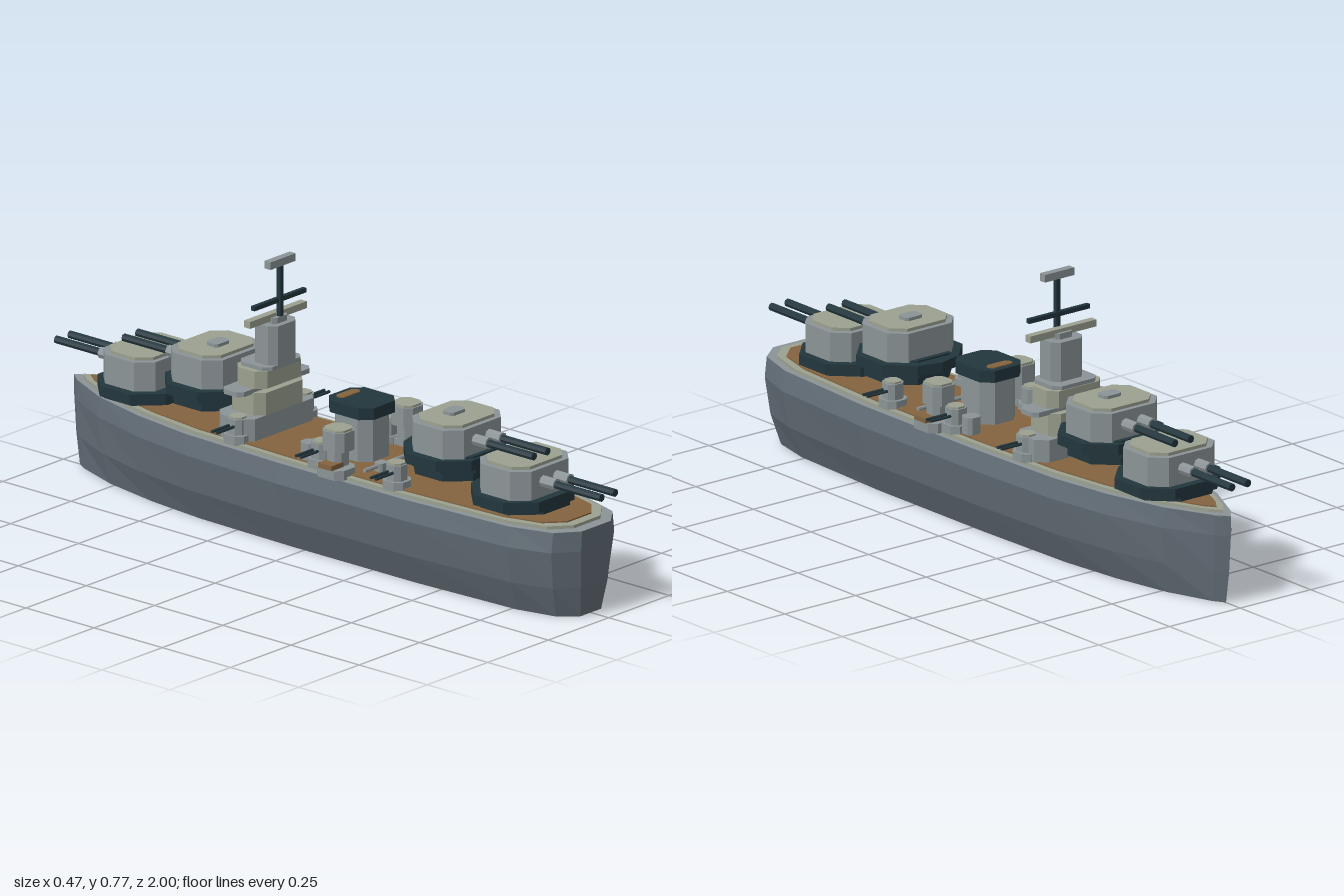
import * as THREE from 'three';

const mat = (name, color, side = THREE.FrontSide) =>
  Object.assign(new THREE.MeshStandardMaterial({ color, side, flatShading: true }), { name });

export function createModel() {
  const M = {
    hull: mat('hullGrey', 0x636e77, THREE.DoubleSide),
    grey: mat('lightGrey', 0x8b9497),
    sage: mat('sageGrey', 0x9ba190),
    dark: mat('darkTeal', 0x22363d),
    wood: mat('deckBrown', 0x84643f),
  };
  const ship = new THREE.Group();
  ship.name = 'warship';

  const add = (parent, name, geo, material, x = 0, y = 0, z = 0) => {
    const m = new THREE.Mesh(geo, material);
    m.name = name;
    m.position.set(x, y, z);
    parent.add(m);
    return m;
  };
  // box standing on y
  const box = (p, name, m, w, h, d, x, y, z) =>
    add(p, name, new THREE.BoxGeometry(w, h, d), m, x, y + h / 2, z);
  // upright prism from plan points [x, z]
  const prism = (pts, h) => {
    const s = new THREE.Shape(pts.map(([x, z]) => new THREE.Vector2(x, -z)));
    return new THREE.ExtrudeGeometry(s, { depth: h, bevelEnabled: false }).rotateX(-Math.PI / 2);
  };
  // rectangle plan with cut corners, optional point at the -z end
  const cut = (w, d, c, point = 0) => {
    const a = w / 2, b = d / 2;
    const pts = [[-a + c, b], [a - c, b], [a, b - c], [a, -b + c], [a - c, -b]];
    if (point) pts.push([0, -b - point]);
    return [...pts, [-a + c, -b], [-a, -b + c], [-a, b - c]];
  };
  const block = (p, name, m, w, h, d, c, x, y, z, point = 0) =>
    add(p, name, prism(cut(w, d, c, point), h), m, x, y, z);
  // round bar along z (or x)
  const bar = (p, name, m, r, len, x, y, z, alongX = false) => {
    const g = new THREE.CylinderGeometry(r, r, len, 8);
    return add(p, name, alongX ? g.rotateZ(Math.PI / 2) : g.rotateX(Math.PI / 2), m, x, y, z);
  };

  // Hull: plan outline lofted through a few heights, open underneath
  const half = [[0.03, -0.925], [0.1, -0.785], [0.15, -0.6], [0.18, -0.4], [0.193, -0.05],
    [0.193, 0.42], [0.17, 0.78], [0.13, 0.905], [0.063, 0.955]];
  const outline = [[0, -0.96], ...half, ...half.map(([x, z]) => [-x, z]).reverse()];
  const scaled = (sx, sz) => outline.map(([x, z]) => [x * sx, z * sz]);
  const loft = (rings) => {
    const v = [];
    const n = outline.length;
    for (let r = 0; r < rings.length - 1; r++) {
      for (let i = 0; i < n; i++) {
        const at = (k, j) => {
          const [y, sx, sz] = rings[k], [x, z] = outline[j % n];
          return [x * sx, y, z * sz];
        };
        const a = at(r, i), b = at(r, i + 1), c = at(r + 1, i + 1), d = at(r + 1, i);
        v.push(...a, ...d, ...c, ...a, ...c, ...b);
      }
    }
    const g = new THREE.BufferGeometry();
    g.setAttribute('position', new THREE.Float32BufferAttribute(v, 3));
    g.computeVertexNormals();
    return g;
  };
  add(ship, 'hull', loft([[0, 0.68, 0.978], [0.09, 0.89, 0.992], [0.198, 1, 1], [0.255, 0.945, 1]]), M.hull);
  add(ship, 'deckEdge', prism(scaled(0.945, 1), 0.006), M.grey, 0, 0.25, 0);
  add(ship, 'deckRim', prism(scaled(0.87, 0.965), 0.009), M.sage, 0, 0.256, 0);
  add(ship, 'deck', prism(scaled(0.78, 0.935), 0.007), M.wood, 0, 0.262, 0);

  // Main turrets: low outer and raised inner pair, repeated at both ends
  const turret = (name, z, base, raised, dir) => {
    const t = new THREE.Group();
    t.name = name;
    t.position.set(0, base, z * dir);
    if (dir < 0) t.rotation.y = Math.PI;
    ship.add(t);
    if (raised) block(t, 'barbette', M.dark, 0.23, 0.07, 0.22, 0.06, 0, -0.065, 0);
    block(t, 'turretFoot', M.dark, 0.25, 0.02, 0.24, 0.07, 0, -0.04, 0);
    block(t, 'turretRing', M.dark, 0.286, 0.03, 0.25, 0.07, 0, -0.03, -0.005, 0.02);
    block(t, 'gunHouse', M.grey, 0.236, 0.084, 0.19, 0.042, 0, 0, 0);
    block(t, 'gunHouseRoof', M.sage, 0.205, 0.009, 0.16, 0.036, 0, 0.084, 0);
    if (raised) block(t, 'roofHatch', M.grey, 0.06, 0.01, 0.042, 0.008, 0, 0.092, -0.01);
    for (const x of [-0.028, 0.028]) {
      bar(t, 'gunCollar', M.grey, 0.017, 0.06, x, 0.045, 0.115);
      bar(t, 'gunBarrel', M.dark, 0.0115, 0.22, x, 0.045, 0.2);
    }
  };
  for (const dir of [1, -1]) {
    turret('lowTurret', 0.69, 0.31, false, dir);
    turret('raisedTurret', 0.442, 0.373, true, dir);
  }

  // Bridge tower
  const bridge = new THREE.Group();
  bridge.name = 'bridge';
  ship.add(bridge);
  block(bridge, 'bridgeBase', M.grey, 0.3, 0.065, 0.13, 0.03, 0, 0.268, -0.255);
  block(bridge, 'bridgeHouse', M.sage, 0.2, 0.065, 0.125, 0.025, 0, 0.333, -0.252);
  block(bridge, 'bridgeWing', M.grey, 0.3, 0.014, 0.075, 0.015, 0, 0.395, -0.255);
  block(bridge, 'upperBridge', M.sage, 0.19, 0.05, 0.11, 0.025, 0, 0.409, -0.245);
  block(bridge, 'bridgeRoof', M.grey, 0.155, 0.011, 0.115, 0.02, 0, 0.459, -0.24);
  block(bridge, 'tower', M.grey, 0.112, 0.115, 0.085, 0.02, 0, 0.468, -0.223);
  block(bridge, 'towerCap', M.grey, 0.06, 0.02, 0.045, 0.01, 0, 0.58, -0.22);
  box(bridge, 'rangefinder', M.sage, 0.234, 0.02, 0.022, 0, 0.59, -0.222);
  box(bridge, 'mast', M.dark, 0.014, 0.17, 0.014, 0, 0.58, -0.205);
  box(bridge, 'mastYard', M.dark, 0.214, 0.013, 0.013, 0, 0.64, -0.21);
  box(bridge, 'mastAntenna', M.grey, 0.104, 0.022, 0.022, 0, 0.748, -0.205);

  // Funnel with dark cap
  block(ship, 'funnel', M.grey, 0.125, 0.13, 0.14, 0.03, 0, 0.268, 0.095);
  block(ship, 'funnelCap', M.dark, 0.146, 0.034, 0.165, 0.03, 0, 0.396, 0.095);
  block(ship, 'funnelMouth', M.wood, 0.08, 0.003, 0.03, 0.008, 0, 0.43, 0.045);

  // Boom across the deck behind the funnel
  bar(ship, 'boom', M.grey, 0.006, 0.28, 0, 0.285, 0.228, true);
  for (const s of [-1, 1]) {
    block(ship, 'boomStand', M.grey, 0.035, 0.025, 0.03, 0.006, s * 0.07, 0.268, 0.228);

    // Side guns: three twin mounts each side
    for (const z of [-0.24, 0.068, 0.343]) {
      const g = new THREE.Group();
      g.name = 'sideGun';
      g.position.set(s * 0.135, 0.262, z);
      ship.add(g);
      block(g, 'gunPedestal', M.grey, 0.07, 0.026, 0.075, 0.018, 0, 0, 0);
      block(g, 'gunShield', M.grey, 0.055, 0.045, 0.055, 0.014, 0, 0.026, 0);
      block(g, 'gunShieldRoof', M.sage, 0.045, 0.005, 0.045, 0.012, 0, 0.071, 0);
      for (const dz of [-0.009, 0.009]) bar(g, 'sideBarrel', M.dark, 0.0045, 0.085, s * 0.055, 0.051, dz, true);
    }

    // Director posts on sponsons beside the funnel
    block(ship, 'sponson', M.grey, 0.085, 0.028, 0.1, 0.02, s * 0.158, 0.258, 0.14);
    box(ship, 'sponsonPlank', M.wood, 0.05, 0.014, 0.05, s * 0.18, 0.286, 0.14);
    block(ship, 'directorPost', M.grey, 0.058, 0.05, 0.055, 0.014, s * 0.145, 0.286, 0.135);
    block(ship, 'director', M.grey, 0.078, 0.056, 0.08, 0.018, s * 0.142, 0.33, 0.135);
    block(ship, 'directorRoof', M.sage, 0.068, 0.006, 0.07, 0.016, s * 0.142, 0.386, 0.135);
    block(ship, 'deckLocker', M.grey, 0.045, 0.05, 0.045, 0.01, s * 0.125, 0.268, 0.015);
  }
  return ship;
}
